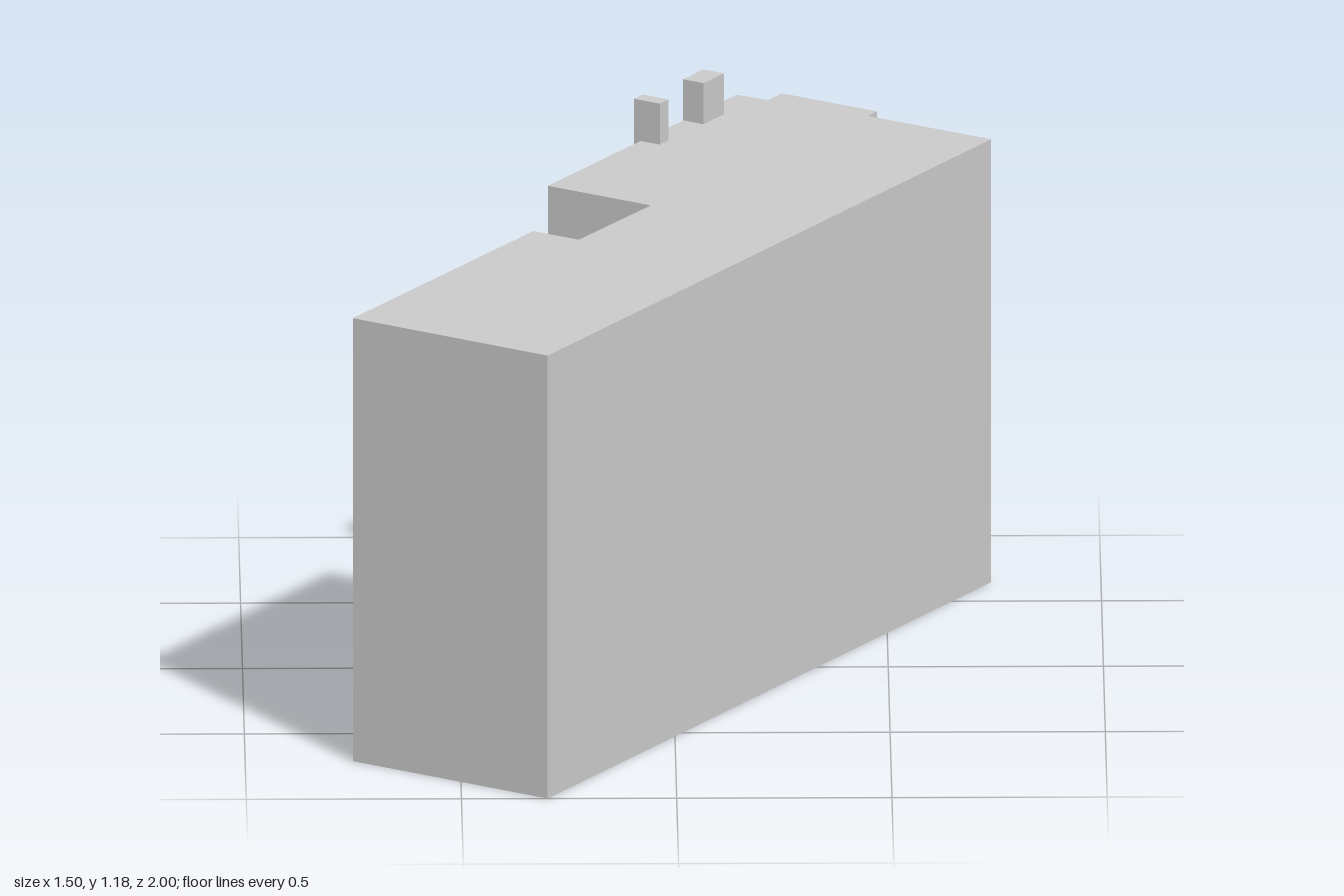
import * as THREE from 'three';

const WALL_TOP = 1.08, STACK_TOP = 1.18;
const TURN = Math.atan2(0.843, 0.537); // heading of the long axis in plan

const material = new THREE.MeshStandardMaterial({ color: 0xcccccc, flatShading: true });

// Upright prism over a plan outline of [x, z] points
function prism(name, plan, height) {
  const shape = new THREE.Shape(plan.map(([x, z]) => new THREE.Vector2(x, -z)));
  const geometry = new THREE.ExtrudeGeometry(shape, { depth: height, bevelEnabled: false });
  geometry.rotateX(-Math.PI / 2);
  const mesh = new THREE.Mesh(geometry, material);
  mesh.name = name;
  return mesh;
}

// Box aligned with the long axis of the building
function stack(name, x, z, length, width, bottom) {
  const mesh = new THREE.Mesh(new THREE.BoxGeometry(length, STACK_TOP - bottom, width), material);
  mesh.position.set(x, (STACK_TOP + bottom) / 2, z);
  mesh.rotation.y = TURN;
  mesh.name = name;
  return mesh;
}

export function createModel() {
  const group = new THREE.Group();
  group.name = 'building';

  // Corners of the recess in the rear wall
  const outerA = [-0.145, -0.207], innerA = [-0.05, -0.146];
  const innerB = [-0.22, 0.115], outerB = [-0.313, 0.056];

  // Main block with stepped end and recess
  group.add(prism('mainBlock', [
    [-0.75, 0.71], [-0.3, 1.0], [0.745, -0.645], [0.46, -0.825], [0.482, -0.86],
    [0.262, -1.0], [0.23, -0.948], [0.156, -0.99], [-0.288, -0.298],
    innerA, innerB, [-0.325, 0.048],
  ], WALL_TOP));

  // Lower bay filling the recess, its roof falling outwards
  const bay = prism('recessedBay', [outerA, innerA, innerB, outerB], 1);
  const pos = bay.geometry.attributes.position;
  const isInner = (x, z) => [innerA, innerB].some(([a, b]) => Math.hypot(x - a, z - b) < 0.01);
  for (let i = 0; i < pos.count; i++) {
    if (pos.getY(i) > 0.5) pos.setY(i, isInner(pos.getX(i), pos.getZ(i)) ? 1.045 : 0.995);
  }
  bay.geometry.computeVertexNormals();
  group.add(bay);

  // Full-height flue on the rear wall, and a short chimney on the roof
  group.add(stack('flue', -0.045, -0.645, 0.038, 0.071, 0));
  group.add(stack('chimney', 0.078, -0.818, 0.089, 0.056, WALL_TOP));

  return group;
}
